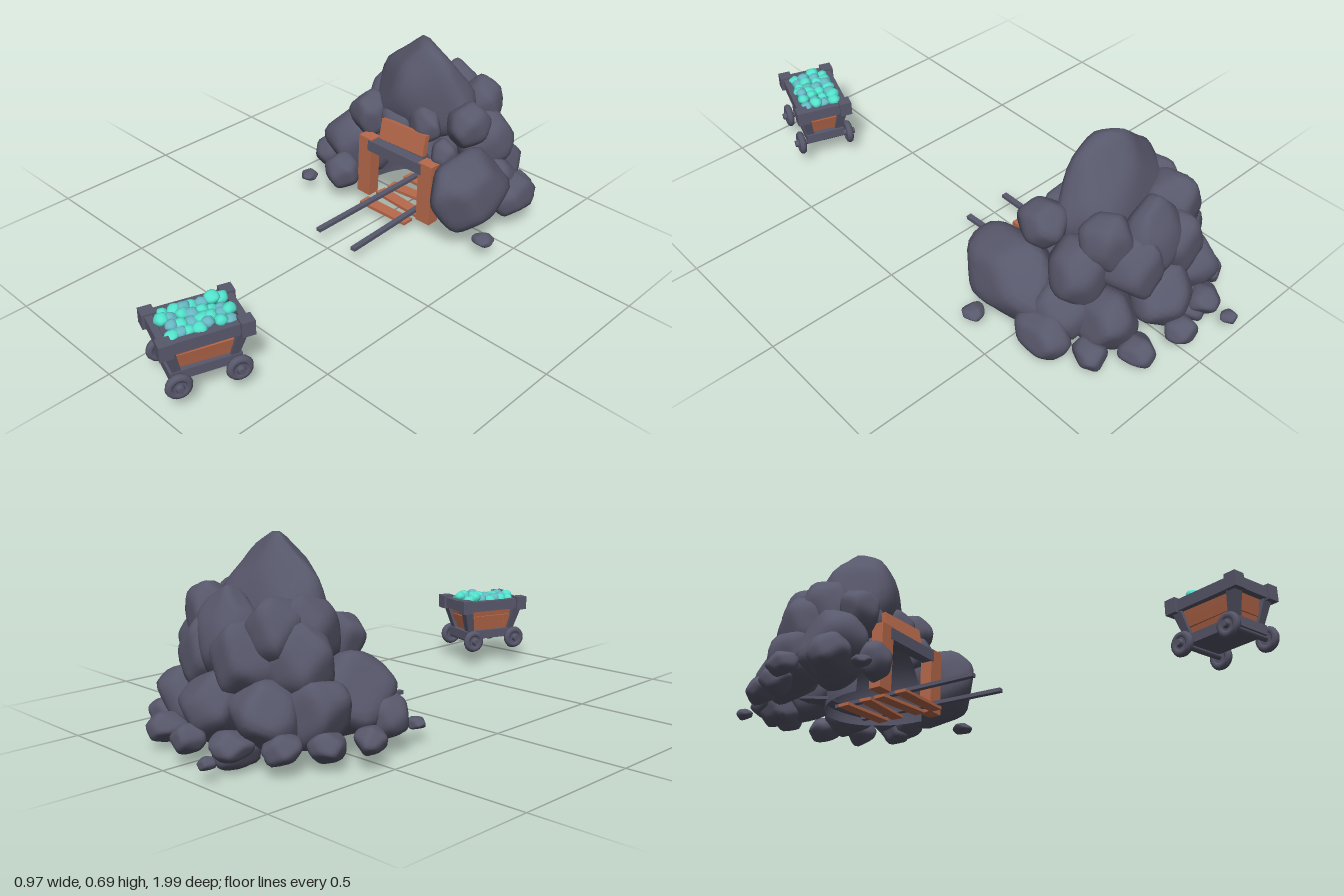
import * as THREE from 'three';
import { mergeVertices } from 'three/addons/utils/BufferGeometryUtils.js';

const mat = (name, color, side = THREE.FrontSide) => {
  const m = new THREE.MeshStandardMaterial({ color, side });
  m.name = name;
  return m;
};

export function createModel() {
  const slate = mat('slate', 0x58586c, THREE.DoubleSide);
  const wood = mat('wood', 0xb8694b);
  const teal = mat('teal ore', 0x52e2cc);
  const blue = mat('blue ore', 0x68b8c4);

  let seed = 7;
  const rnd = () => {
    seed = (seed * 16807) % 2147483647;
    return seed / 2147483647;
  };

  const add = (parent, name, geo, material, x = 0, y = 0, z = 0) => {
    const m = new THREE.Mesh(geo, material);
    m.name = name;
    m.position.set(x, y, z);
    parent.add(m);
    return m;
  };
  const box = (parent, name, material, w, h, d, x, y, z) =>
    add(parent, name, new THREE.BoxGeometry(w, h, d), material, x, y, z);

  // Softly faceted boulder, fitted to the given half sizes
  function rockGeometry(rx, ry, rz, taper = 0, shear = 0, detail = 5) {
    let g = new THREE.IcosahedronGeometry(1, detail);
    g.deleteAttribute('uv');
    g.deleteAttribute('normal');
    g = mergeVertices(g, 1e-4);
    const planes = [];
    for (let i = 0; i < 15; i++) {
      const y = 1 - (2 * (i + 0.5)) / 15, r = Math.sqrt(1 - y * y), a = i * 2.4 + rnd() * 0.7;
      planes.push(new THREE.Vector3(Math.cos(a) * r, y, Math.sin(a) * r).divideScalar(0.8 + rnd() * 0.25));
    }
    const p = g.attributes.position, v = new THREE.Vector3();
    for (let i = 0; i < p.count; i++) {
      v.fromBufferAttribute(p, i).normalize();
      let s = 0;
      for (const n of planes) s += Math.max(0, v.dot(n)) ** 14;
      v.multiplyScalar(s ** (-1 / 14));
      const k = 1 - taper * v.y;
      p.setXYZ(i, v.x * k, v.y, v.z * k + shear * v.y);
    }
    g.center();
    g.computeBoundingBox();
    const b = g.boundingBox.max;
    g.scale(rx / b.x, ry / b.y, rz / b.z);
    g.computeVertexNormals();
    return g;
  }

  // Box whose bottom is narrower than its top (half sizes)
  function frustum(tx, tz, bx, bz, y0, y1) {
    const g = new THREE.BoxGeometry(2, 1, 2).toNonIndexed();
    const p = g.attributes.position;
    for (let i = 0; i < p.count; i++) {
      const top = p.getY(i) > 0;
      p.setXYZ(i, p.getX(i) * (top ? tx : bx), top ? y1 : y0, p.getZ(i) * (top ? tz : bz));
    }
    g.computeVertexNormals();
    return g;
  }

  const model = new THREE.Group();
  model.name = 'mine';

  // Boulder mound
  const mound = new THREE.Group();
  mound.name = 'mound';
  model.add(mound);
  add(mound, 'peak', rockGeometry(0.225, 0.21, 0.145, 0.33, 0.1), slate, 0.005, 0.485, -0.55);
  add(mound, 'rearPeak', rockGeometry(0.13, 0.15, 0.1, 0.35), slate, 0, 0.395, -0.735);

  // Boulders around the entrance: x, y, z, half sizes
  [
    [-0.19, 0.4, -0.56, 0.09, 0.12, 0.11],
    [-0.18, 0.35, -0.43, 0.08, 0.095, 0.08],
    [-0.265, 0.19, -0.45, 0.13, 0.145, 0.13],
    [-0.37, 0.12, -0.4, 0.07, 0.08, 0.08],
    [-0.22, 0.12, -0.31, 0.075, 0.075, 0.07],
    [-0.43, 0.09, -0.54, 0.055, 0.045, 0.055],
    [0.09, 0.395, -0.45, 0.075, 0.075, 0.06],
    [-0.06, 0.36, -0.45, 0.08, 0.07, 0.06],
    [0.2, 0.315, -0.42, 0.055, 0.07, 0.05],
    [0.24, 0.43, -0.5, 0.085, 0.09, 0.09],
    [0.31, 0.21, -0.43, 0.13, 0.15, 0.185],
    [0.37, 0.125, -0.63, 0.075, 0.085, 0.11],
  ].forEach(([x, y, z, ...r]) => add(mound, 'boulder', rockGeometry(...r), slate, x, y, z));

  // Arcs of boulders round the back, from the left side to the right
  function boulderArc(count, start, rx, rz, y, size, height) {
    for (let i = 0; i < count; i++) {
      const a = start + ((Math.PI - 2 * start) * i) / (count - 1);
      const s = size * (0.92 + rnd() * 0.18);
      const rock = rockGeometry(s, height * (0.95 + rnd() * 0.1), s);
      add(mound, 'rearBoulder', rock, slate, Math.cos(a) * rx, y + (rnd() - 0.5) * 0.03, -0.6 - Math.sin(a) * rz);
    }
  }
  boulderArc(2, 0.7, 0.2, 0.12, 0.41, 0.095, 0.115);
  boulderArc(4, 0.2, 0.23, 0.15, 0.31, 0.105, 0.13);
  boulderArc(5, 0.12, 0.28, 0.19, 0.165, 0.115, 0.115);
  boulderArc(7, 0.15, 0.36, 0.3, 0.085, 0.06, 0.052);
  add(mound, 'lowBoulder', rockGeometry(0.075, 0.06, 0.07), slate, -0.14, 0.06, -0.83);

  // Loose stones
  [[-0.18, 0.06, -0.967], [-0.36, 0.065, -0.25], [0.44, 0.07, -0.38]].forEach(([x, y, z], i) =>
    add(mound, 'looseStone', rockGeometry(0.03 + i * 0.005, 0.021, 0.028 + i * 0.005), slate, x, y, z));

  // Hollow cave wall, open to the front and below, with a sloping floor at its rear
  const cave = new THREE.SphereGeometry(1, 24, 8, Math.PI, Math.PI, 0, Math.PI / 2);
  cave.scale(0.2, 0.29, 0.27);
  add(mound, 'caveWall', cave, slate, 0.02, 0.045, -0.42);
  box(mound, 'caveFloor', slate, 0.3, 0.01, 0.16, 0.02, 0.085, -0.67).rotation.x = 0.2;

  // Timber entrance
  const entrance = new THREE.Group();
  entrance.name = 'entrance';
  model.add(entrance);
  box(entrance, 'leftPost', wood, 0.065, 0.255, 0.05, 0.185, 0.178, -0.355);
  box(entrance, 'rightPost', wood, 0.065, 0.255, 0.05, -0.123, 0.178, -0.355).rotation.z = -0.02;
  box(entrance, 'lintel', slate, 0.27, 0.045, 0.045, 0.03, 0.277, -0.35);
  const board = box(entrance, 'signBoard', wood, 0.22, 0.083, 0.024, 0.03, 0.345, -0.385);
  board.rotation.set(-0.2, 0, 0.02);

  // Track
  const track = new THREE.Group();
  track.name = 'track';
  model.add(track);
  [[-0.05, 0], [0.118, 0.04]].forEach(([x, turn]) => {
    box(track, 'rail', slate, 0.021, 0.014, 0.62, x, 0.06, -0.31).rotation.y = turn;
  });
  for (let i = 0; i < 4; i++) {
    const tie = box(track, 'tie', wood, 0.23, 0.012, 0.048, 0.028, 0.048, -0.295 - i * 0.085);
    tie.rotation.y = [0.02, -0.08, 0.1, -0.05][i];
  }

  // Ore cart
  const cart = new THREE.Group();
  cart.name = 'cart';
  cart.position.set(0.238, 0, 0.812);
  cart.rotation.y = -0.34;
  model.add(cart);

  box(cart, 'chassis', slate, 0.15, 0.035, 0.24, 0, 0.12, 0);
  // Stacked side planks, slightly askew
  for (let i = 0; i < 3; i++) {
    const w = (t) => [0.058 + 0.018 * t + (i % 2) * 0.004, 0.098 + 0.024 * t + (i % 2) * 0.004];
    const plank = frustum(...w((i + 1) / 3), ...w(i / 3), 0.134 + i * 0.033, 0.166 + i * 0.033);
    add(cart, 'plank', plank, wood).rotation.y = (i - 1) * 0.025;
  }
  box(cart, 'bed', slate, 0.14, 0.012, 0.23, 0, 0.246, 0);

  for (const sx of [-1, 1]) {
    box(cart, 'sideRim', slate, 0.024, 0.042, 0.24, sx * 0.085, 0.247, 0);
    box(cart, 'endRim', slate, 0.15, 0.042, 0.024, 0, 0.247, sx * 0.133);
    for (const sz of [-1, 1]) {
      box(cart, 'cornerBlock', slate, 0.046, 0.055, 0.046, sx * 0.085, 0.248, sz * 0.132);
      // Leaning corner post
      const post = frustum(0.019, 0.019, 0.014, 0.014, 0.125, 0.235);
      const p = post.attributes.position;
      for (let i = 0; i < p.count; i++) {
        const t = (p.getY(i) - 0.125) / 0.11;
        p.setX(i, p.getX(i) + sx * (0.056 + 0.02 * t));
        p.setZ(i, p.getZ(i) + sz * (0.094 + 0.027 * t));
      }
      post.computeVertexNormals();
      add(cart, 'cornerPost', post, slate);
      // Wheel with raised tyre and hub
      const wheel = new THREE.Group();
      wheel.name = 'wheel';
      wheel.position.set(sx * 0.097, 0.1, sz * 0.1);
      wheel.rotation.z = -sx * Math.PI / 2;
      cart.add(wheel);
      add(wheel, 'disc', new THREE.CylinderGeometry(0.036, 0.036, 0.02, 20), slate);
      add(wheel, 'tyre', new THREE.TorusGeometry(0.032, 0.014, 8, 20).rotateX(Math.PI / 2), slate);
      add(wheel, 'hub', new THREE.CylinderGeometry(0.012, 0.016, 0.02, 12), slate, 0, 0.015, 0);
    }
  }
  for (const sz of [-1, 1]) {
    const axle = new THREE.CylinderGeometry(0.012, 0.012, 0.18, 10).rotateZ(Math.PI / 2);
    add(cart, 'axle', axle, slate, 0, 0.1, sz * 0.1);
  }

  // Ore heap, chunks packed in offset rows
  for (let i = 0; i < 4; i++) {
    for (let j = 0; j < 7; j++) {
      const r = 0.02 + rnd() * 0.007;
      const x = (i - 1.5) * 0.036 + (rnd() - 0.5) * 0.012;
      const z = (j - 3) * 0.032 + (i % 2 - 0.5) * 0.014 + (rnd() - 0.5) * 0.01;
      const ore = rockGeometry(r, r * 0.8, r, 0, 0, 2);
      add(cart, 'ore', ore, (i * 3 + j * 2) % 5 < 3 ? teal : blue, x, 0.26 + rnd() * 0.018, z);
    }
  }
  return model;
}
